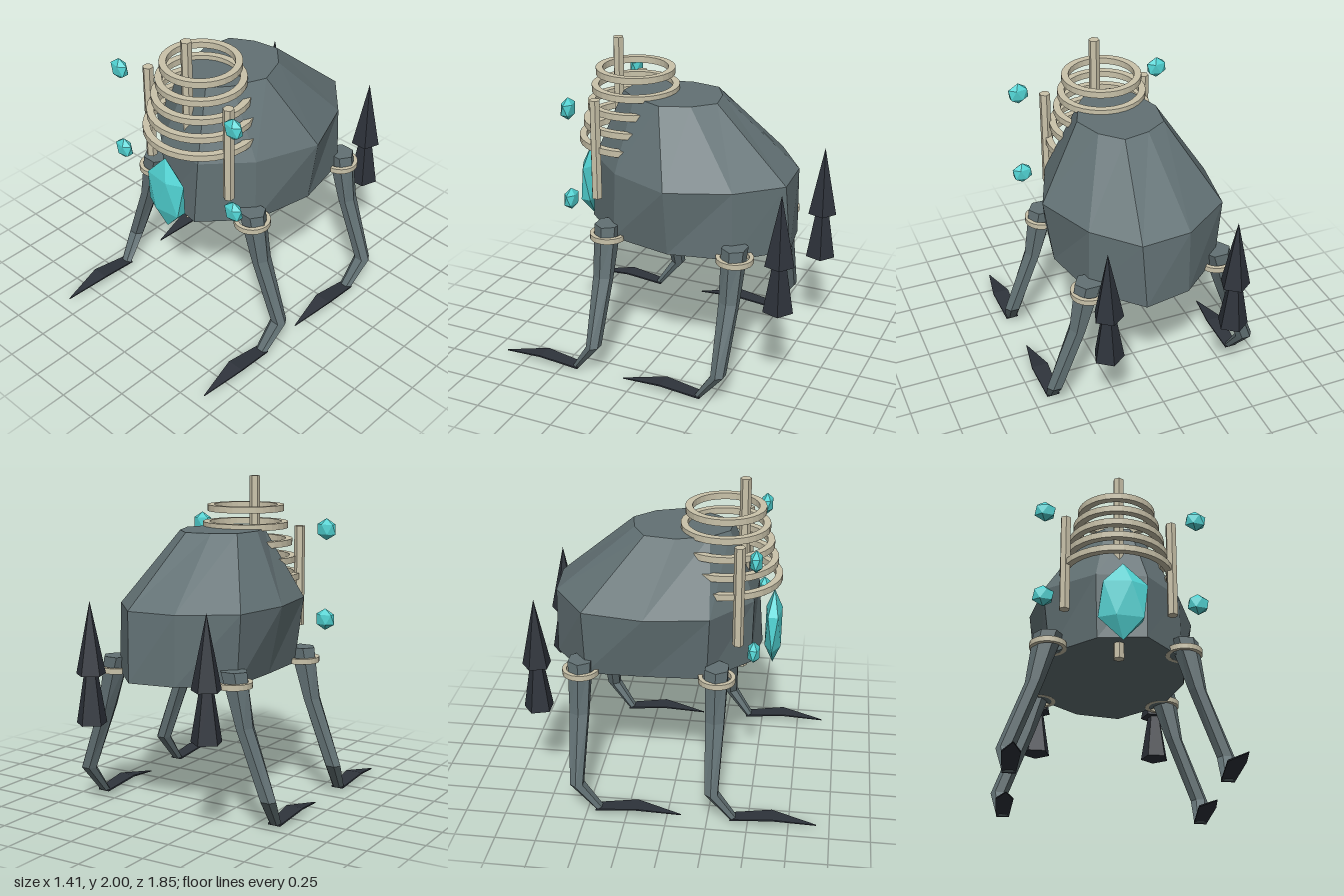
import * as THREE from 'three';

const mat = (name, color) => {
  const m = new THREE.MeshStandardMaterial({ color });
  m.name = name;
  m.flatShading = true;
  return m;
};

// Skin of flat facets through matching rings of points, capped at both ends.
// Rings run counter-clockwise as seen from the end the sections travel to.
function loft(rings) {
  const pos = [];
  const tri = (a, b, c) => pos.push(...a, ...b, ...c);
  const n = rings[0].length;
  for (let s = 0; s < rings.length - 1; s++) {
    const A = rings[s], B = rings[s + 1];
    for (let i = 0; i < n; i++) {
      const j = (i + 1) % n;
      tri(A[i], A[j], B[j]);
      tri(A[i], B[j], B[i]);
    }
  }
  const first = rings[0], last = rings[rings.length - 1];
  for (let i = 1; i < n - 1; i++) {
    tri(first[0], first[i + 1], first[i]);
    tri(last[0], last[i], last[i + 1]);
  }
  const g = new THREE.BufferGeometry();
  g.setAttribute('position', new THREE.Float32BufferAttribute(pos, 3));
  g.computeVertexNormals();
  return g;
}

// Flat hoop with a rectangular section
function hoop(outer, width, height, segments = 32) {
  const i = outer - width, h = height / 2;
  const profile = [[i, -h], [outer, -h], [outer, h], [i, h], [i, -h]];
  return new THREE.LatheGeometry(profile.map(p => new THREE.Vector2(...p)), segments);
}

// Icosahedron standing on one point, with a corner towards +x
function crystal(rx, ry, rz) {
  const t = (1 + Math.sqrt(5)) / 2;
  return new THREE.IcosahedronGeometry(1, 0)
    .rotateX(-Math.atan(t)).rotateY(Math.PI / 2).scale(rx, ry, rz);
}

export function createModel() {
  const model = new THREE.Group();
  model.name = 'walker';
  const slate = mat('slate', 0x627174);
  const bone = mat('bone', 0xcac3aa);
  const teal = mat('teal', 0x50d2d2);
  const dark = mat('charcoal', 0x2e333b);

  const add = (name, geometry, material, x = 0, y = 0, z = 0, parent = model) => {
    const m = new THREE.Mesh(geometry, material);
    m.name = name;
    m.position.set(x, y, z);
    parent.add(m);
    return m;
  };

  // Body: three uneven ten-sided rings, the top one set forward
  const level = (y, pts) => pts.map(([x, z]) => [x, y, z]);
  add('body', loft([
    level(0.85, [[0.49, -0.155], [0.41, -0.54], [0.15, -0.81], [-0.14, -0.76], [-0.42, -0.53],
      [-0.42, -0.16], [-0.40, 0.21], [-0.14, 0.46], [0.155, 0.51], [0.41, 0.24]]),
    level(1.27, [[0.55, -0.155], [0.40, -0.53], [0.17, -0.78], [-0.14, -0.755], [-0.45, -0.54],
      [-0.51, -0.16], [-0.45, 0.23], [-0.15, 0.47], [0.165, 0.48], [0.40, 0.23]]),
    level(1.69, [[0.265, 0], [0.20, -0.18], [0.08, -0.30], [-0.08, -0.27], [-0.215, -0.19],
      [-0.245, 0], [-0.18, 0.20], [-0.07, 0.31], [0.08, 0.32], [0.18, 0.20]]),
  ]), slate);

  // Stack of hoops, growing downwards and sinking into the body
  for (let i = 0; i < 5; i++) {
    add('hoop', hoop(0.245 + i * 0.0275, 0.043, 0.04), bone, 0, 1.805 - i * 0.107, 0.275);
  }

  // Upright rods
  const rod = (x, y0, y1) =>
    add('rod', new THREE.CylinderGeometry(0.034, 0.034, y1 - y0, 6), bone, x, (y0 + y1) / 2, 0.39);
  rod(0, 0.75, 2);
  rod(0.33, 1.06, 1.695);
  rod(-0.33, 1.06, 1.695);

  // Crystals
  add('largeCrystal', crystal(0.168, 0.253, 0.059), teal, 0, 1.037, 0.585);
  for (const side of [1, -1]) {
    for (const y of [1.09, 1.67]) {
      add('smallCrystal', crystal(0.072, 0.07, 0.041), teal, side * 0.467, y, 0.495);
    }
  }

  // Floating five-sided spikes behind
  for (const side of [1, -1]) {
    const spike = new THREE.Group();
    spike.name = 'spike';
    spike.position.set(side * 0.405, 0, -0.835);
    spike.rotation.y = Math.PI;
    model.add(spike);
    add('spikeBase', new THREE.CylinderGeometry(0.044, 0.095, 0.3, 5), dark, 0, 0.73, 0, spike);
    add('spikeTip', new THREE.ConeGeometry(0.092, 0.44, 5), dark, 0, 1.1, 0, spike);
  }

  // Legs: hexagonal sections from ankle to hip as [x, y, z, rx, rz]
  const legPath = [
    [0.625, 0.015, 0.135, 0.04, 0.026],
    [0.648, 0.2, 0, 0.055, 0.046],
    [0.492, 0.62, 0, 0.055, 0.066],
    [0.415, 0.945, 0, 0.09, 0.08],
  ];
  // Feet: thin blades as [y, z, half width, half thickness]
  const footPath = [
    [0.018, 0.115, 0.04, 0.005],
    [0.05, 0.37, 0.054, 0.005],
    [0.003, 0.645, 0.002, 0.003],
  ];
  for (const side of [1, -1]) {
    for (const z of [0.275, -0.56]) {
      const leg = new THREE.Group();
      leg.name = z > 0 ? 'frontLeg' : 'backLeg';
      leg.position.z = z;
      model.add(leg);
      add('limb', loft(legPath.map(([cx, cy, cz, rx, rz]) =>
        Array.from({ length: 6 }, (_, i) => {
          const a = i * Math.PI / 3;
          return [side * cx + rx * Math.cos(a), cy, cz - rz * Math.sin(a)];
        }))), slate, 0, 0, 0, leg);
      add('foot', loft(footPath.map(([y, fz, w, t]) =>
        [[w, -t], [w, t], [-w, t], [-w, -t]].map(([dx, dy]) => [side * 0.626 + dx, y + dy, fz]))),
      dark, 0, 0, 0, leg);
      add('cuff', hoop(0.113, 0.026, 0.034, 24), bone, side * 0.415, 0.866, 0, leg);
    }
  }
  return model;
}
